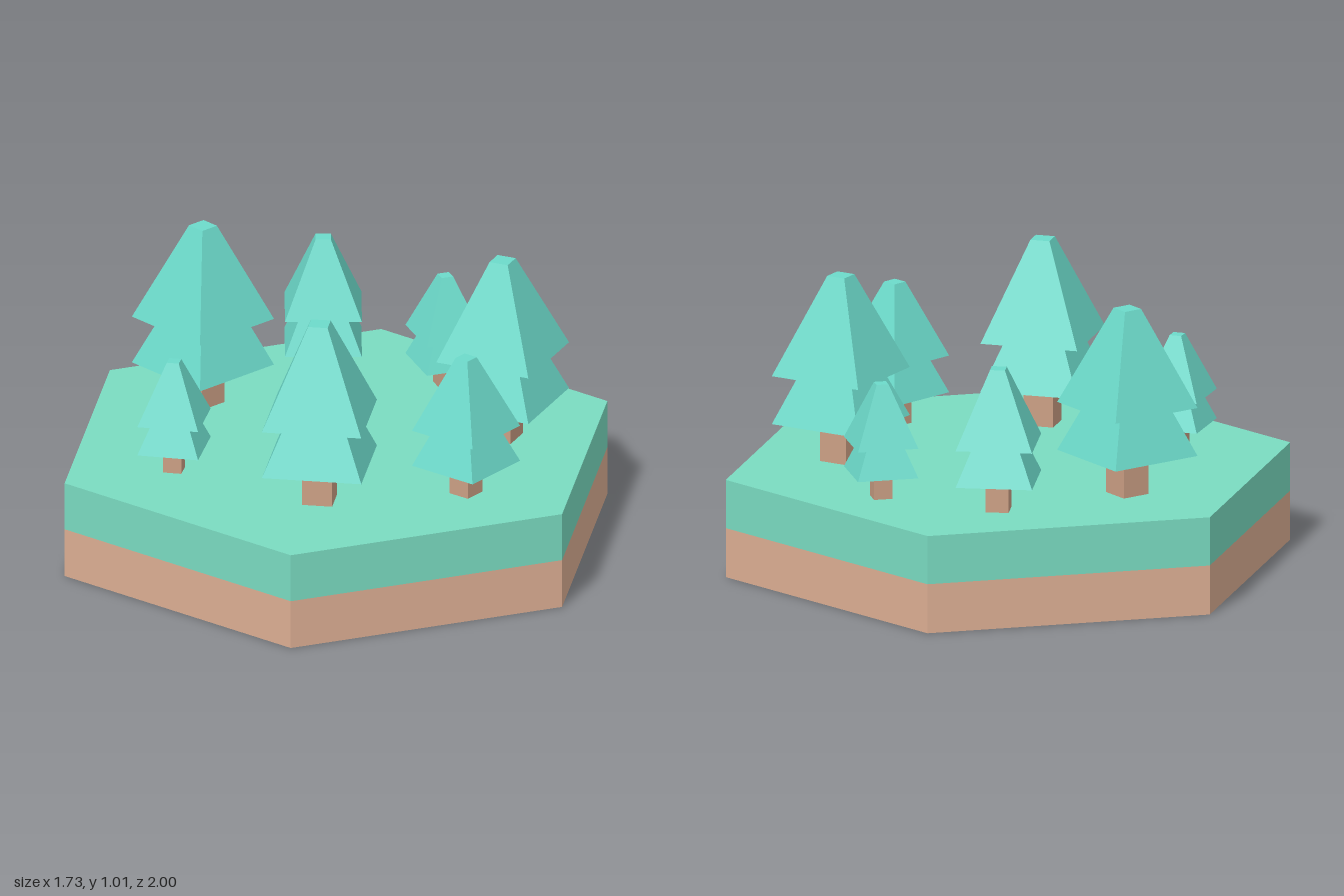
import * as THREE from 'three';

const material = (color) => new THREE.MeshStandardMaterial({ color, flatShading: true });

export function createModel() {
  const model = new THREE.Group();
  model.name = 'forestTile';

  const grassMat = material(0x7adbc1);
  const soilMat = material(0xdcae93);
  const leafMat = material(0x6cdaca);
  const barkMat = material(0xcb9f84);

  const add = (parent, name, geometry, mat, y) => {
    const mesh = new THREE.Mesh(geometry, mat);
    mesh.name = name;
    mesh.position.y = y;
    parent.add(mesh);
    return mesh;
  };

  // Hexagonal ground in two layers, corners towards front and back
  const soilTop = 0.175;
  const groundTop = 0.347;
  const slab = (h) => new THREE.CylinderGeometry(1, 1, h, 6);
  add(model, 'soil', slab(soilTop), soilMat, soilTop / 2);
  add(model, 'grass', slab(groundTop - soilTop), grassMat, (soilTop + groundTop) / 2);

  // Square tapered tier, given by its half widths
  const tier = (top, bottom, h) =>
    new THREE.CylinderGeometry(top * Math.SQRT2, bottom * Math.SQRT2, h, 4, 1, false, Math.PI / 4);
  const tierGeo = tier(0.034, 0.173, 0.345);
  const trunkGeo = new THREE.BoxGeometry(0.105, 0.17, 0.105);

  // Full-size tree: trunk and two overlapping foliage tiers
  const makeTree = () => {
    const tree = new THREE.Group();
    add(tree, 'trunk', trunkGeo, barkMat, 0.085);
    add(tree, 'lowerFoliage', tierGeo, leafMat, 0.143 + 0.1725);
    add(tree, 'upperFoliage', tierGeo, leafMat, 0.314 + 0.1725);
    return tree;
  };

  // Tree positions: x, z, scale, turn
  const LARGE = 1, MEDIUM = 0.765, SMALL = 0.617;
  const trees = [
    [-0.507, -0.278, LARGE, -0.67],
    [0.558, -0.14, LARGE, -0.26],
    [0.022, 0.507, LARGE, 0],
    [-0.14, -0.606, MEDIUM, 0.16],
    [0.51, 0.364, MEDIUM, -0.51],
    [0.292, -0.562, SMALL, 0.51],
    [-0.513, 0.323, SMALL, -0.05],
  ];
  trees.forEach(([x, z, scale, turn], i) => {
    const tree = makeTree();
    tree.name = `tree${i + 1}`;
    tree.position.set(x, groundTop, z);
    tree.scale.setScalar(scale);
    tree.rotation.y = turn;
    model.add(tree);
  });

  return model;
}
